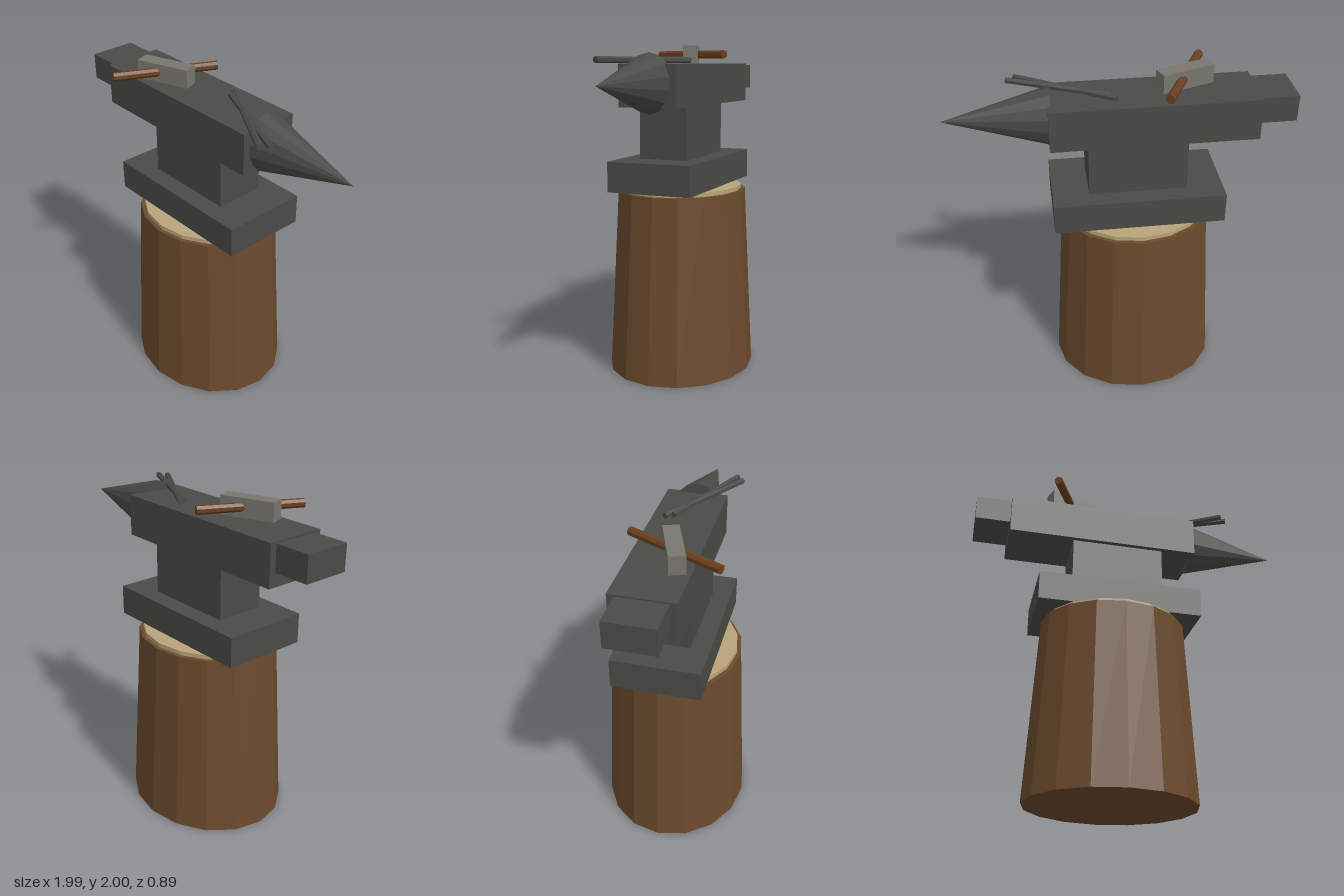
import * as THREE from 'three';

const material = (color) => new THREE.MeshStandardMaterial({ color, flatShading: true });

export function createModel() {
  const model = new THREE.Group();
  const iron = material(0x4a4a46);
  const steel = material(0x77766f);
  const bark = material(0x6b4a2d);
  const cutWood = material(0xb8a47a);
  const handleWood = material(0x6a3f20);

  const add = (name, geometry, mat, parent = model) => {
    const mesh = new THREE.Mesh(geometry, mat);
    mesh.name = name;
    parent.add(mesh);
    return mesh;
  };

  // Box given by its x and y limits and its depth
  const block = (name, x0, x1, y0, y1, depth) =>
    add(name, new THREE.BoxGeometry(x1 - x0, y1 - y0, depth), iron)
      .position.set((x0 + x1) / 2, (y0 + y1) / 2, 0);

  // Oval tapered cylinder standing under the anvil
  const log = (name, top, bottom, y0, y1, mat) => {
    const mesh = add(name, new THREE.CylinderGeometry(top, bottom, y1 - y0, 16), mat);
    mesh.scale.z = 0.865;
    mesh.position.set(-0.1, (y0 + y1) / 2, 0);
  };

  // Level rod between two points in plan
  const rod = (name, y, x0, z0, x1, z1, radius, sides, mat, parent) => {
    const a = new THREE.Vector3(x0, y, z0);
    const b = new THREE.Vector3(x1, y, z1);
    const mesh = add(name, new THREE.CylinderGeometry(radius, radius, a.distanceTo(b), sides), mat, parent);
    mesh.position.copy(a).lerp(b, 0.5);
    mesh.quaternion.setFromUnitVectors(new THREE.Vector3(0, 1, 0), b.sub(a).normalize());
  };

  // Stump with a pale cut face
  log('stump', 0.447, 0.513, 0, 1.125, bark);
  log('stumpTop', 0.42, 0.42, 1.1, 1.15, cutWood);

  // Anvil
  block('anvilFoot', -0.6, 0.4, 1.15, 1.33, 0.52);
  block('anvilWaist', -0.385, 0.187, 1.33, 1.645, 0.3);
  block('anvilBody', -0.785, 0.4, 1.645, 1.89, 0.36);
  block('anvilHeel', -1, -0.785, 1.725, 1.88, 0.28);

  // Horn: oval cone pointing to +x
  const horn = new THREE.ConeGeometry(1, 0.61, 14);
  horn.rotateY(Math.PI / 2).rotateZ(-Math.PI / 2).scale(1, 0.173, 0.144);
  add('anvilHorn', horn, iron).position.set(0.685, 1.78, 0);

  // Hammer lying on the face
  const hammer = new THREE.Group();
  hammer.name = 'hammer';
  model.add(hammer);
  const head = add('hammerHead', new THREE.BoxGeometry(0.325, 0.11, 0.092), steel, hammer);
  head.position.set(-0.385, 1.945, 0.057);
  head.rotation.y = 0.35;
  rod('hammerHandle', 1.947, -0.253, -0.216, -0.522, 0.334, 0.026, 8, handleWood, hammer);

  // Tongs: two crossed rods
  const tongs = new THREE.Group();
  tongs.name = 'tongs';
  model.add(tongs);
  rod('tongArm', 1.912, 0.02, -0.1, 0.57, 0.237, 0.018, 6, iron, tongs);
  rod('tongArm', 1.912, 0.042, -0.058, 0.615, 0.2, 0.018, 6, iron, tongs);

  return model;
}
